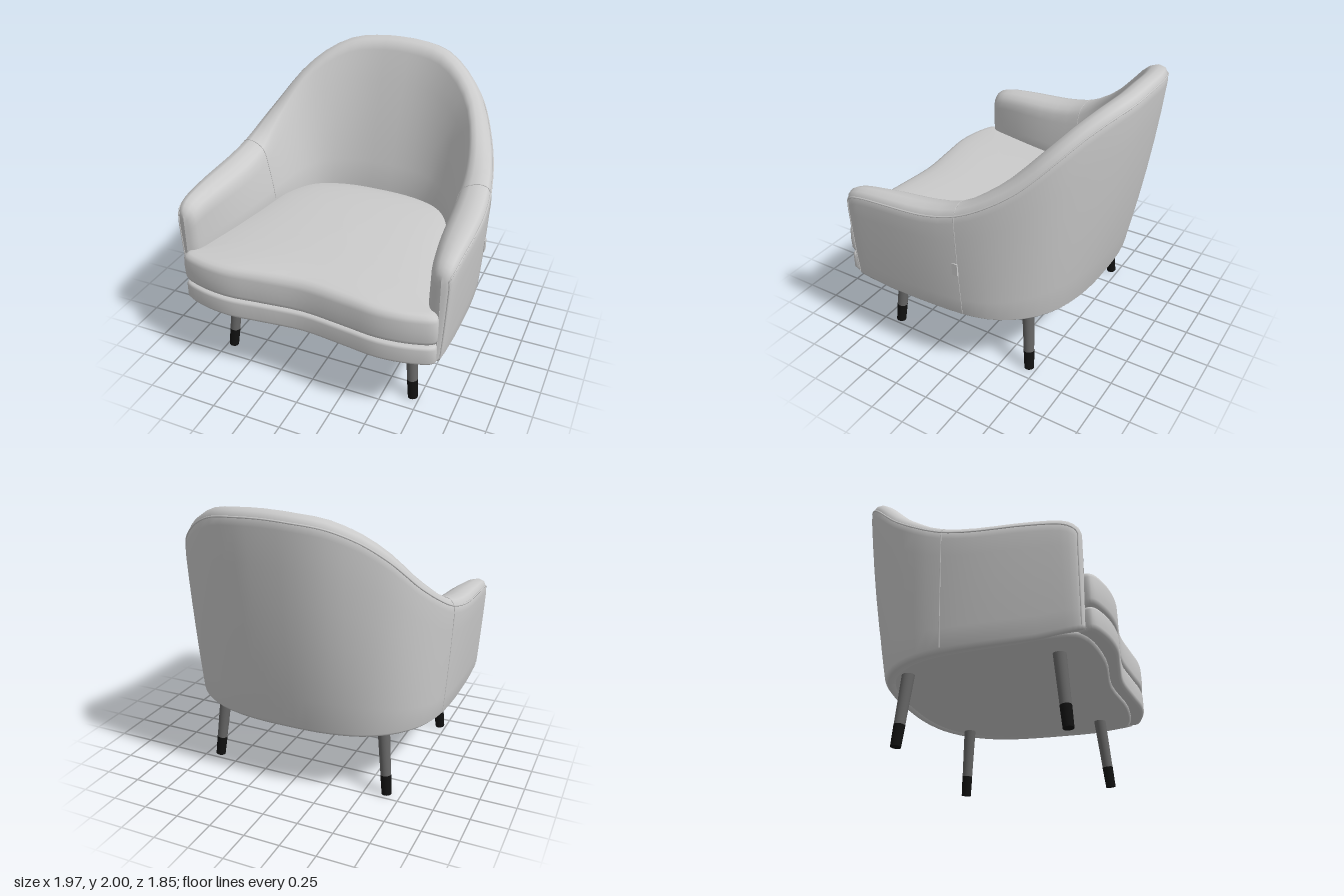
import * as THREE from 'three';

const V = (x, y, z) => new THREE.Vector3(x, y, z);
const grey = new THREE.MeshStandardMaterial({ color: 0xcccccc, side: THREE.DoubleSide });
const legMat = new THREE.MeshStandardMaterial({ color: 0x666666 });
const tipMat = new THREE.MeshStandardMaterial({ color: 0x111111 });

// Stations of the wrap-around shell, from back centre to arm front:
// outer rim x, z, crest height, bottom x, z, inner foot x, z, inner rim fraction
const STATIONS = [
  [0, -0.925, 2.0, 0, -0.68, 0, -0.48, 0.38],
  [0.2, -0.915, 1.99, 0.17, -0.677, 0.15, -0.477, 0.38],
  [0.385, -0.865, 1.96, 0.345, -0.657, 0.3, -0.457, 0.39],
  [0.565, -0.76, 1.87, 0.525, -0.607, 0.44, -0.41, 0.42],
  [0.715, -0.635, 1.735, 0.675, -0.52, 0.54, -0.33, 0.46],
  [0.825, -0.475, 1.57, 0.79, -0.4, 0.605, -0.23, 0.54],
  [0.905, -0.285, 1.435, 0.87, -0.255, 0.645, -0.135, 0.64],
  [0.953, -0.08, 1.335, 0.912, -0.085, 0.668, -0.04, 0.74],
  [0.98, 0.15, 1.285, 0.93, 0.15, 0.7, 0.18, 0.81],
  [0.985, 0.4, 1.268, 0.932, 0.4, 0.74, 0.42, 0.87],
  [0.978, 0.62, 1.25, 0.93, 0.62, 0.785, 0.62, 0.93],
  [0.97, 0.73, 1.225, 0.928, 0.73, 0.81, 0.73, 0.96],
  [0.948, 0.785, 1.18, 0.918, 0.78, 0.845, 0.785, 1],
  [0.9, 0.803, 1.13, 0.9, 0.795, 0.9, 0.803, 1],
];

// Smooth curve through a half list of points and its mirror image
function mirroredCurve(half, closed) {
  const other = half.slice(1, closed ? -1 : undefined).map((p) => V(-p.x, p.y, p.z));
  const pts = closed ? [...half, ...other.reverse()] : [...other.reverse(), ...half];
  return new THREE.CatmullRomCurve3(pts, closed, closed ? 'centripetal' : 'catmullrom', 0.5);
}

// Skin over rows of closed sections
function loft(rows) {
  const n = rows[0].length, index = [];
  for (let i = 0; i < rows.length - 1; i++) {
    for (let j = 0; j < n; j++) {
      const k = (j + 1) % n;
      const a = i * n + j, b = i * n + k, c = (i + 1) * n + k, d = (i + 1) * n + j;
      index.push(a, b, d, b, c, d);
    }
  }
  const g = new THREE.BufferGeometry().setFromPoints(rows.flat());
  g.setIndex(index);
  g.computeVertexNormals();
  return g;
}

const rimCurve = mirroredCurve(STATIONS.map((s) => V(s[0], s[2], s[1])), false);
const bottomCurve = mirroredCurve(STATIONS.map((s) => V(s[3], 0.48, s[4])), false);
const innerCurve = mirroredCurve(STATIONS.map((s) => V(s[5], s[7], s[6])), false);

// Closed cross-section of the shell: up the outside, over the rim, down the inside
function shellSection(t) {
  const O = rimCurve.getPoint(t), B = bottomCurve.getPoint(t), I = innerCurve.getPoint(t);
  const H = O.y, f = I.y;
  const y0 = 0.48 + 0.03 * Math.max(0, (B.z - 0.5) / 0.3);
  const mix = (a, b, k, y) => V(a.x + (b.x - a.x) * k, y, a.z + (b.z - a.z) * k);
  const J = mix(O, I, f, H - 0.08);
  const pts = [mix(B, I, 0.1, y0)];
  for (let i = 0; i <= 6; i++) {
    const s = i / 6;
    pts.push(mix(B, O, s + 0.4 * s * (1 - s), y0 + 0.025 + (H - 0.1 - y0 - 0.025) * s));
  }
  pts.push(mix(O, J, 0.03, H - 0.05), mix(O, J, 0.14, H - 0.014), mix(O, J, 0.38, H),
    mix(O, J, 0.68, H - 0.014), mix(O, J, 0.88, H - 0.04));
  for (let i = 0; i <= 5; i++) {
    const s = i / 5;
    pts.push(mix(J, I, s + 0.25 * s * (1 - s), H - 0.08 + (0.9 - H + 0.08) * s));
  }
  pts.push(V(I.x, y0 + 0.02, I.z));
  return pts;
}

// Upholstered pad: outline scaled about its middle along a profile of [scale, y, dome]
function pad(half, profile, cz = 0.2) {
  const outline = mirroredCurve(half.map(([x, z]) => V(x, 0, z)), true).getPoints(96).slice(0, -1);
  return loft(profile.map(([k, y, dome = 0]) => outline.map((p) =>
    V(p.x * k, y + dome * (1 - (p.x * k / 0.95) ** 2), cz + (p.z - cz) * k))));
}

export function createModel() {
  const model = new THREE.Group();
  const add = (name, geometry, material = grey, parent = model) => {
    const m = new THREE.Mesh(geometry, material);
    m.name = name;
    parent.add(m);
    return m;
  };

  // Backrest and arms in one shell
  const rows = [];
  const steps = 52;
  for (let i = 0; i <= steps; i++) rows.push(shellSection(i / steps));
  add('backAndArms', loft(rows));

  // Piping along the outer rim and down the arm fronts
  const rim = rows.slice(2, -2).map((r) => r[8]);
  const path = [...rows[2].slice(1, 8), ...rim, ...rows[steps - 2].slice(1, 8).reverse()];
  add('piping', new THREE.TubeGeometry(new THREE.CatmullRomCurve3(path), 200, 0.006, 6));

  // Stitched seams between arms and back, and a small tag on one of them
  for (const [name, t] of [['rightSeam', 6 / 26], ['leftSeam', 20 / 26]]) {
    const line = new THREE.CatmullRomCurve3(shellSection(t).slice(1, -1));
    add(name, new THREE.TubeGeometry(line, 60, 0.003, 5));
  }
  add('tag', new THREE.BoxGeometry(0.02, 0.09, 0.04)).position.set(0.938, 0.88, -0.066);

  // Seat base and cushion with a wavy front
  const seat = [[0, 0.872], [0.3, 0.9], [0.55, 0.925], [0.78, 0.895], [0.905, 0.84], [0.89, 0.77],
    [0.84, 0.55], [0.75, 0.2], [0.71, -0.05], [0.68, -0.22], [0.57, -0.41], [0.3, -0.51], [0, -0.53]];
  add('seatBase', pad(seat, [[0, 0.505], [0.96, 0.505], [0.985, 0.512], [1, 0.535], [1, 0.63],
    [0.99, 0.648], [0.965, 0.656], [0, 0.656]]));
  const crown = [0.965, 0.93, 0.88, 0.8, 0.65, 0.45, 0.2, 0].map((k) => [k, 0.88, 0.052 * (1 - k ** 8)]);
  add('seatCushion', pad(seat, [[0, 0.664], [0.96, 0.664], [0.988, 0.672], [1, 0.7], [1.003, 0.77],
    [1, 0.84], [0.99, 0.866], ...crown]));

  // Underside panel
  const under = [[0, 0.8], [0.45, 0.84], [0.8, 0.8], [0.89, 0.74], [0.905, 0.4], [0.905, 0.1],
    [0.885, -0.08], [0.84, -0.25], [0.76, -0.39], [0.65, -0.5], [0.5, -0.585], [0.33, -0.635], [0, -0.66]];
  add('underside', pad(under, [[0, 0.485], [0.97, 0.485], [0.99, 0.492], [0.99, 0.52], [0, 0.52]], 0.1));

  // Splayed tapered legs with dark tips
  const legPart = (name, a, b, ra, rb, material, parent) => {
    const m = add(name, new THREE.CylinderGeometry(rb, ra, a.distanceTo(b), 20), material, parent);
    m.position.copy(a).lerp(b, 0.5);
    m.quaternion.setFromUnitVectors(V(0, 1, 0), b.clone().sub(a).normalize());
  };
  for (const side of [-1, 1]) {
    for (const [name, x0, z0, x1, z1] of [['front', 0.705, 0.635, 0.66, 0.588], ['back', 0.655, -0.447, 0.605, -0.407]]) {
      const leg = new THREE.Group();
      leg.name = name + (side > 0 ? 'LeftLeg' : 'RightLeg');
      const foot = V(side * x0, 0.003, z0), top = V(side * x1, 0.5, z1);
      const joint = foot.clone().lerp(top, 0.285);
      legPart('tip', foot, joint, 0.034, 0.037, tipMat, leg);
      legPart('shaft', joint, top, 0.036, 0.042, legMat, leg);
      model.add(leg);
    }
  }
  return model;
}
